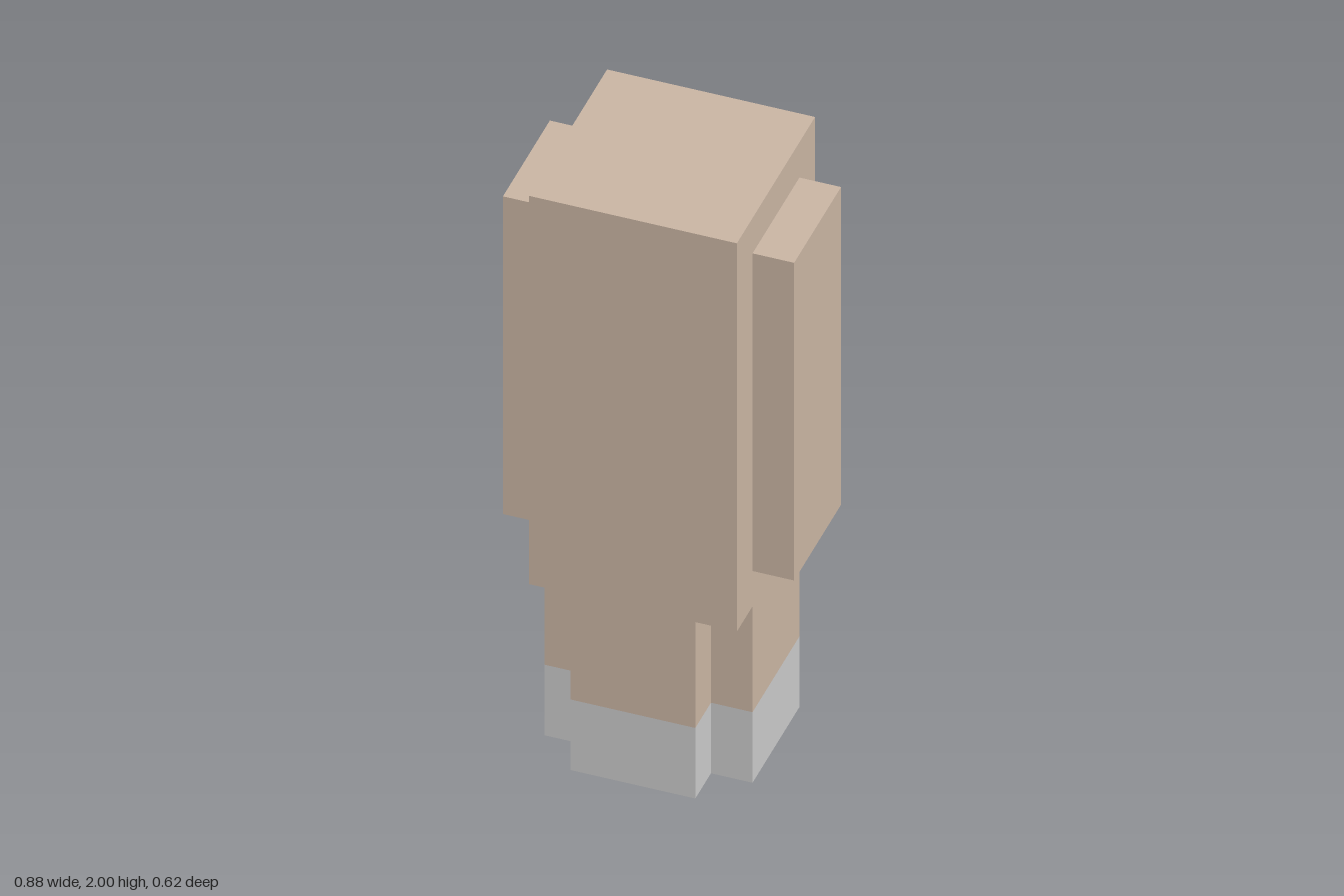
import * as THREE from 'three';

const U = 0.0625; // half of one block unit

export function createModel() {
  const model = new THREE.Group();
  model.name = 'blockPillar';
  const tan = new THREE.MeshStandardMaterial({ color: 0xc8b4a2 });
  tan.name = 'tan';
  const grey = new THREE.MeshStandardMaterial({ color: 0xc8c8c8 });
  grey.name = 'grey';

  const add = (name, geometry, material) => {
    const mesh = new THREE.Mesh(geometry, material);
    mesh.name = name;
    model.add(mesh);
    return mesh;
  };

  // Box between two corners, in block units
  const box = (name, [x0, y0, z0], [x1, y1, z1], material) => {
    const geometry = new THREE.BoxGeometry((x1 - x0) * U, (y1 - y0) * U, (z1 - z0) * U);
    geometry.translate((x0 + x1) * U / 2, (y0 + y1) * U / 2, (z0 + z1) * U / 2);
    return add(name, geometry, material);
  };

  // Upright prism with notched corners; the back arm is optional
  const notched = (name, y0, y1, hasBackArm, material) => {
    const back = hasBackArm ? 5 : 3;
    const half = [[3, -5], [3, -3], [5, -3], [5, 3]];
    if (hasBackArm) half.push([3, 3], [3, back]);
    const outline = [...half, ...half.map(([x, y]) => [-x, y]).reverse()];
    const shape = new THREE.Shape(outline.map(([x, y]) => new THREE.Vector2(x * U, y * U)));
    const geometry = new THREE.ExtrudeGeometry(shape, { depth: (y1 - y0) * U, bevelEnabled: false });
    geometry.rotateX(-Math.PI / 2).translate(0, y0 * U, 0);
    return add(name, geometry, material);
  };

  // Grey foot, with the back arm raised off the ground
  notched('footBase', 0, 2, false, grey);
  notched('footUpper', 2, 4, true, grey);

  // Tan lower column and main body
  notched('lowerColumn', 4, 10, true, tan);
  box('body', [-5, 10, -5], [5, 32, 5], tan);

  // Slabs on both sides
  box('leftSlab', [5, 12, -3], [7, 30, 3], tan);
  box('rightSlab', [-7, 12, -3], [-5, 30, 3], tan);

  return model;
}
